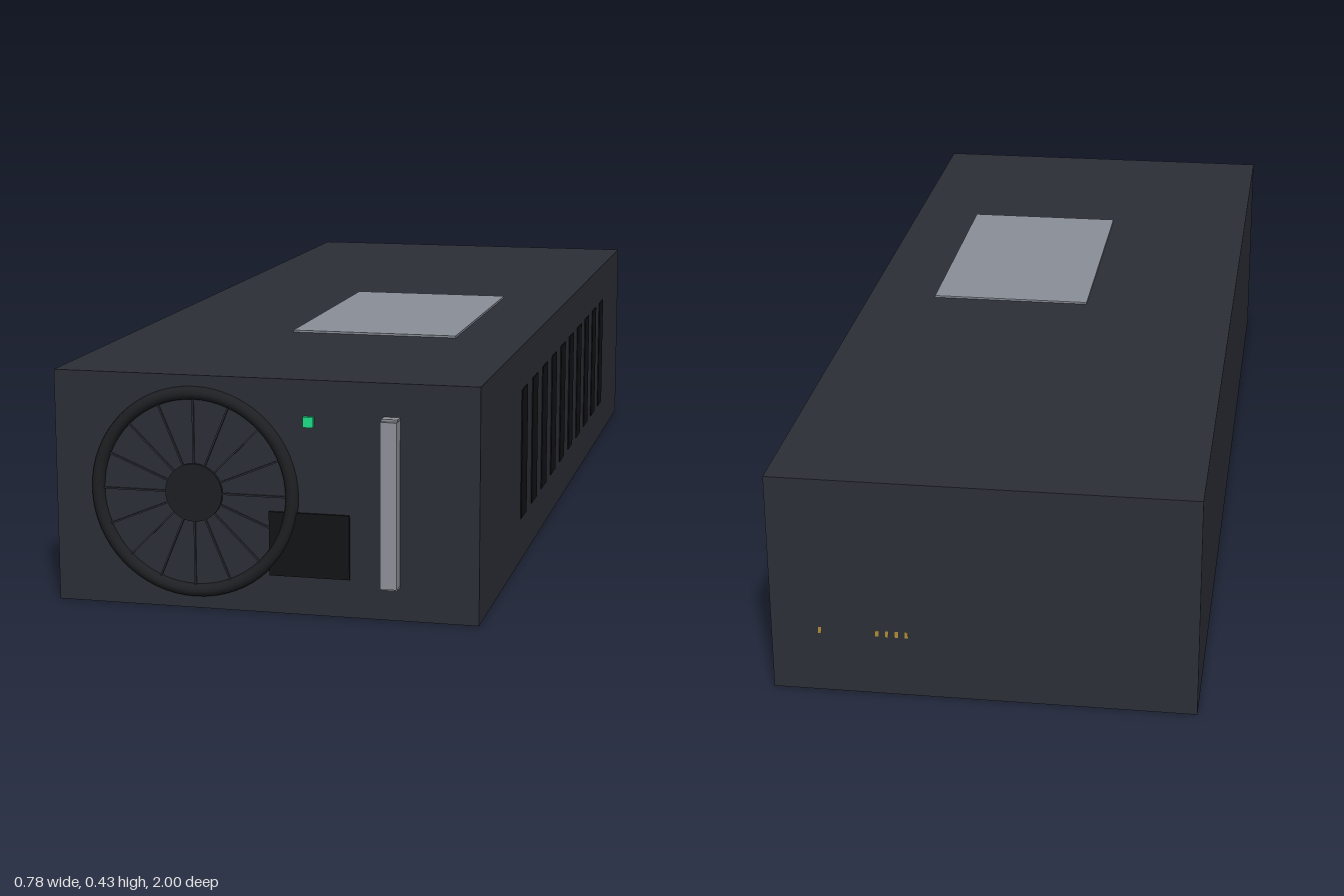
import * as THREE from 'three';

const mat = (color) => new THREE.MeshStandardMaterial({ color });

export function createModel() {
  const model = new THREE.Group();
  const steel = mat(0x2c2f37);
  const black = mat(0x131416);
  const dark = mat(0x1e1f22);
  const ringMat = mat(0x1f2023);
  const silver = mat(0x90939b);
  const labelMat = mat(0x8a8f99);
  const gold = mat(0xb08d35);
  const green = mat(0x1fe08a);

  // Box given by its min and max corners
  const box = (name, material, [x0, y0, z0], [x1, y1, z1], parent = model) => {
    const mesh = new THREE.Mesh(new THREE.BoxGeometry(x1 - x0, y1 - y0, z1 - z0), material);
    mesh.position.set((x0 + x1) / 2, (y0 + y1) / 2, (z0 + z1) / 2);
    mesh.name = name;
    parent.add(mesh);
    return mesh;
  };

  // Main housing and top label plate
  const front = 0.972;
  box('housing', steel, [-0.39, 0, -1], [0.39, 0.427, front]);
  box('labelPlate', labelMat, [-0.08, 0.426, -0.08], [0.248, 0.431, 0.475]);

  // Ventilation slots along the +x side
  const vents = new THREE.Group();
  vents.name = 'sideVents';
  for (let i = 0; i < 10; i++) {
    const z = 0.503 - i * 0.1283;
    box('ventSlot', black, [0.386, 0.086, z - 0.032], [0.392, 0.341, z + 0.032], vents);
  }
  model.add(vents);

  // Fan: outer ring, hub and thin radial spokes
  const fan = new THREE.Group();
  fan.name = 'fan';
  fan.position.set(-0.129, 0.214, front);
  const ring = new THREE.Mesh(new THREE.TorusGeometry(0.181, 0.012, 12, 64), ringMat);
  ring.name = 'fanRing';
  fan.add(ring);
  const hub = new THREE.Mesh(new THREE.CylinderGeometry(0.053, 0.053, 0.012, 32), dark);
  hub.name = 'fanHub';
  hub.rotation.x = Math.PI / 2;
  fan.add(hub);
  const spokeCount = 16;
  for (let i = 0; i < spokeCount; i++) {
    const arm = new THREE.Group();
    arm.rotation.z = (i / spokeCount) * Math.PI * 2;
    box('fanSpoke', steel, [0.05, -0.0015, -0.004], [0.172, 0.0015, 0.004], arm);
    fan.add(arm);
  }
  model.add(fan);

  // Power inlet and status light
  box('powerInlet', black, [0.01, 0.07, 0.96], [0.157, 0.187, 0.977]);
  box('statusLight', green, [0.074, 0.343, 0.965], [0.093, 0.362, 0.98]);

  // Pull handle with slightly taller end mounts
  const handle = new THREE.Group();
  handle.name = 'pullHandle';
  box('handleBar', silver, [0.218, 0.064, front - 0.002], [0.248, 0.363, 1], handle);
  for (const y of [0.06, 0.347]) {
    box('handleMount', silver, [0.2185, y, front - 0.004], [0.2475, y + 0.02, 0.992], handle);
  }
  model.add(handle);

  // Small contacts almost flush with the back
  const contacts = new THREE.Group();
  contacts.name = 'rearContacts';
  for (const x of [0.14, 0.158, 0.176, 0.194, 0.3]) {
    box('contact', gold, [x - 0.003, 0.118, -1.0005], [x + 0.003, 0.13, -0.98], contacts);
  }
  model.add(contacts);

  return model;
}
